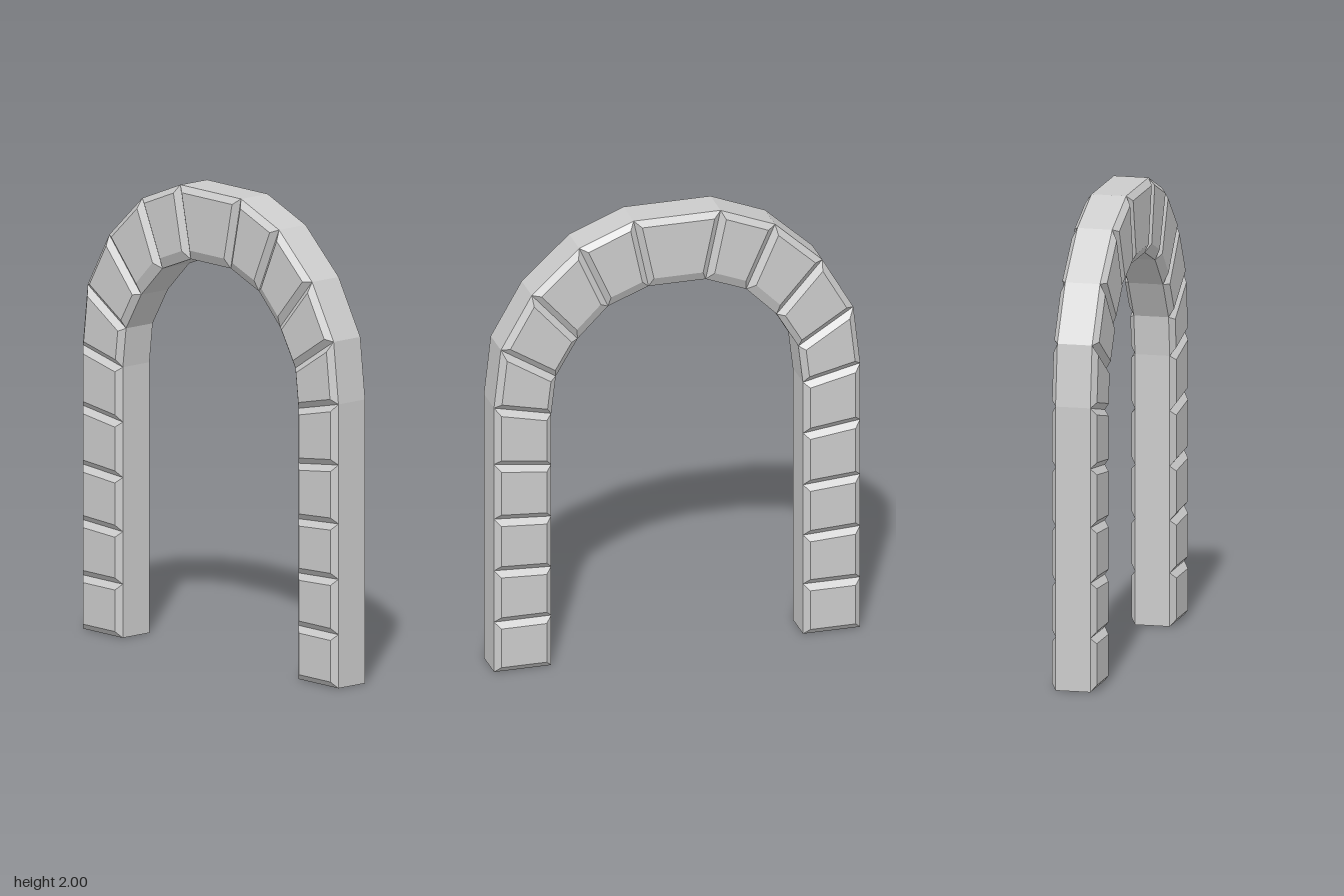
import * as THREE from 'three';

const V = (x, y) => new THREE.Vector2(x, y);
const HALF = 0.075;  // depth of the plain body
const FACE = 0.097;  // depth of the raised stone faces
const BEVEL = 0.026;

// Joint lines of one half, foot to keystone: outer x, y, inner x, y
const joints = [
  [0.8, 0, 0.55, 0], [0.8, 0.23, 0.55, 0.23], [0.8, 0.467, 0.55, 0.455],
  [0.8, 0.705, 0.55, 0.687], [0.8, 0.957, 0.55, 0.925], [0.8, 1.217, 0.55, 1.16],
  [0.77, 1.48, 0.53, 1.33], [0.635, 1.715, 0.435, 1.49],
  [0.428, 1.905, 0.302, 1.623], [0.19, 2, 0.125, 1.692],
];

// Moves every edge of a counter-clockwise polygon inwards by its own distance
function inset(poly, dist) {
  const n = poly.length;
  const edges = poly.map((p, i) => {
    const d = poly[(i + 1) % n].clone().sub(p).normalize();
    return { d, p: p.clone().add(V(-d.y, d.x).multiplyScalar(dist[i])) };
  });
  return edges.map((e, i) => {
    const prev = edges[(i + n - 1) % n];
    const t = e.p.clone().sub(prev.p).cross(e.d) / prev.d.cross(e.d);
    return prev.p.clone().addScaledVector(prev.d, t);
  });
}

// One wedge stone, bevelled on front and back; capEdge closes a foot
function stoneGeometry(quad, innerBevel, capEdge) {
  const small = inset(quad, [BEVEL, BEVEL, innerBevel, BEVEL]);
  const rings = [[small, -FACE], [quad, -HALF], [quad, HALF], [small, FACE]];
  const pos = rings.flatMap(([ring, z]) => ring.flatMap(p => [p.x, p.y, z]));
  const index = [0, 2, 1, 0, 3, 2, 12, 13, 14, 12, 14, 15];
  for (let r = 0; r < 3; r++) {
    for (let k = 0; k < 4; k++) {
      // Joint sides touch the neighbour, so they stay open
      if (r === 1 && k % 2 === 1 && k !== capEdge) continue;
      const a = r * 4 + k, b = r * 4 + (k + 1) % 4;
      index.push(a, b, b + 4, a, b + 4, a + 4);
    }
  }
  const geo = new THREE.BufferGeometry();
  geo.setAttribute('position', new THREE.Float32BufferAttribute(pos, 3));
  geo.setIndex(index);
  const flat = geo.toNonIndexed();
  flat.computeVertexNormals();
  return flat;
}

export function createModel() {
  const group = new THREE.Group();
  group.name = 'stoneArch';
  const material = new THREE.MeshStandardMaterial({ color: 0xcccccc, flatShading: true });

  // Full run of joints, from the left foot over the top to the right foot
  const mirrored = joints.map(([ox, oy, ix, iy]) => [-ox, oy, -ix, iy]).reverse();
  const all = [...joints, ...mirrored];
  const count = all.length - 1;

  for (let i = 0; i < count; i++) {
    const [a, b] = [all[i], all[i + 1]];
    const quad = [V(a[0], a[1]), V(b[0], b[1]), V(b[2], b[3]), V(a[2], a[3])];
    const rank = Math.min(i, count - 1 - i);
    const capEdge = i === 0 ? 3 : i === count - 1 ? 1 : -1;
    const stone = new THREE.Mesh(stoneGeometry(quad, rank > 6 ? 0.042 : BEVEL, capEdge), material);
    const side = i < count / 2 - 1 ? 'left' : 'right';
    stone.name = rank === 9 ? 'keystone' : side + (rank < 5 ? 'PillarStone' : 'ArchStone') + (rank + 1);
    group.add(stone);
  }
  return group;
}
